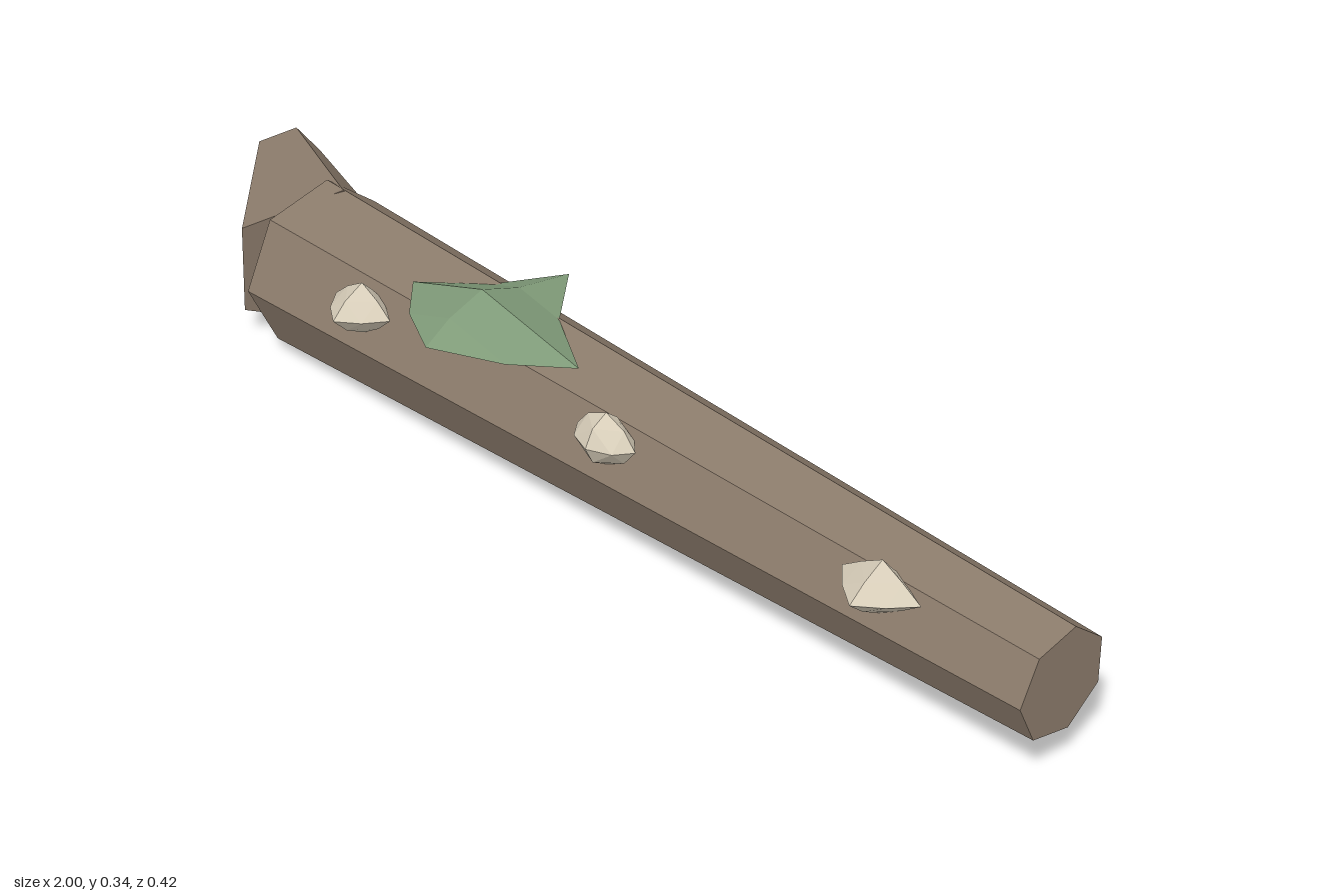
import * as THREE from 'three';

const material = (color) => new THREE.MeshStandardMaterial({ color, flatShading: true });

// Tapered prism from point a to point b, with one corner turned towards `corner`
function limb(name, a, b, ra, rb, sides, corner, mat) {
  const start = new THREE.Vector3(...a), end = new THREE.Vector3(...b);
  const y = end.clone().sub(start);
  const length = y.length();
  y.normalize();
  const z = new THREE.Vector3(...corner);
  z.addScaledVector(y, -z.dot(y)).normalize();
  const x = new THREE.Vector3().crossVectors(y, z);
  const mesh = new THREE.Mesh(new THREE.CylinderGeometry(rb, ra, length, sides), mat);
  mesh.quaternion.setFromRotationMatrix(new THREE.Matrix4().makeBasis(x, y, z));
  mesh.position.copy(start).add(end).multiplyScalar(0.5);
  mesh.name = name;
  return mesh;
}

// Spiky clump: subdivided octahedron with six tips and pulled-in edge middles.
// plus / minus are the tip distances along the positive / negative axes.
function clump(name, center, plus, minus, pull, lean, mat) {
  const geo = new THREE.OctahedronGeometry(1, 1);
  const p = geo.attributes.position;
  for (let i = 0; i < p.count; i++) {
    const v = [p.getX(i), p.getY(i), p.getZ(i)].map((c) => (Math.abs(c) < 0.01 ? 0 : Math.sign(c)));
    const isTip = v.filter((s) => s !== 0).length === 1;
    const k = isTip ? 1 : pull + lean * v[2];
    const [x, y, z] = v.map((s, j) => k * s * (s > 0 ? plus[j] : minus[j]));
    p.setXYZ(i, x, y, z);
  }
  geo.computeVertexNormals();
  const mesh = new THREE.Mesh(geo, mat);
  mesh.position.set(...center);
  mesh.name = name;
  return mesh;
}

export function createModel() {
  const model = new THREE.Group();
  model.name = 'fallenLog';
  const bark = material(0x8b7b6b), moss = material(0x7f9a78), cream = material(0xd6ccb8);

  // Trunk and the short broken branch at its thick end
  const root = [-0.717, 0.153, -0.005];
  model.add(limb('trunk', root, [0.992, 0.168, 0.06], 0.153, 0.094, 7, [0, 0, 1], bark));
  model.add(limb('brokenBranch', root, [-0.973, 0.208, -0.163], 0.16, 0.061, 5, [0.525, 0, -0.85], bark));

  // Moss patch on top
  model.add(clump('mossPatch', [-0.207, 0.286, 0.075],
    [0.222, 0.055, 0.128], [0.168, 0.046, 0.2], 0.5, 0.08, moss));

  // Mushrooms along the front: x, half width, forward reach, pull
  const mushrooms = [[-0.432, 0.067, 0.067, 0.55], [0.138, 0.064, 0.047, 0.62], [0.708, 0.077, 0.072, 0.52]];
  for (const [x, w, reach, pull] of mushrooms) {
    model.add(clump('mushroom', [x, 0.24, 0.138], [w, 0.047, reach], [w, 0.05, 0.042], pull, 0.03, cream));
  }
  return model;
}
